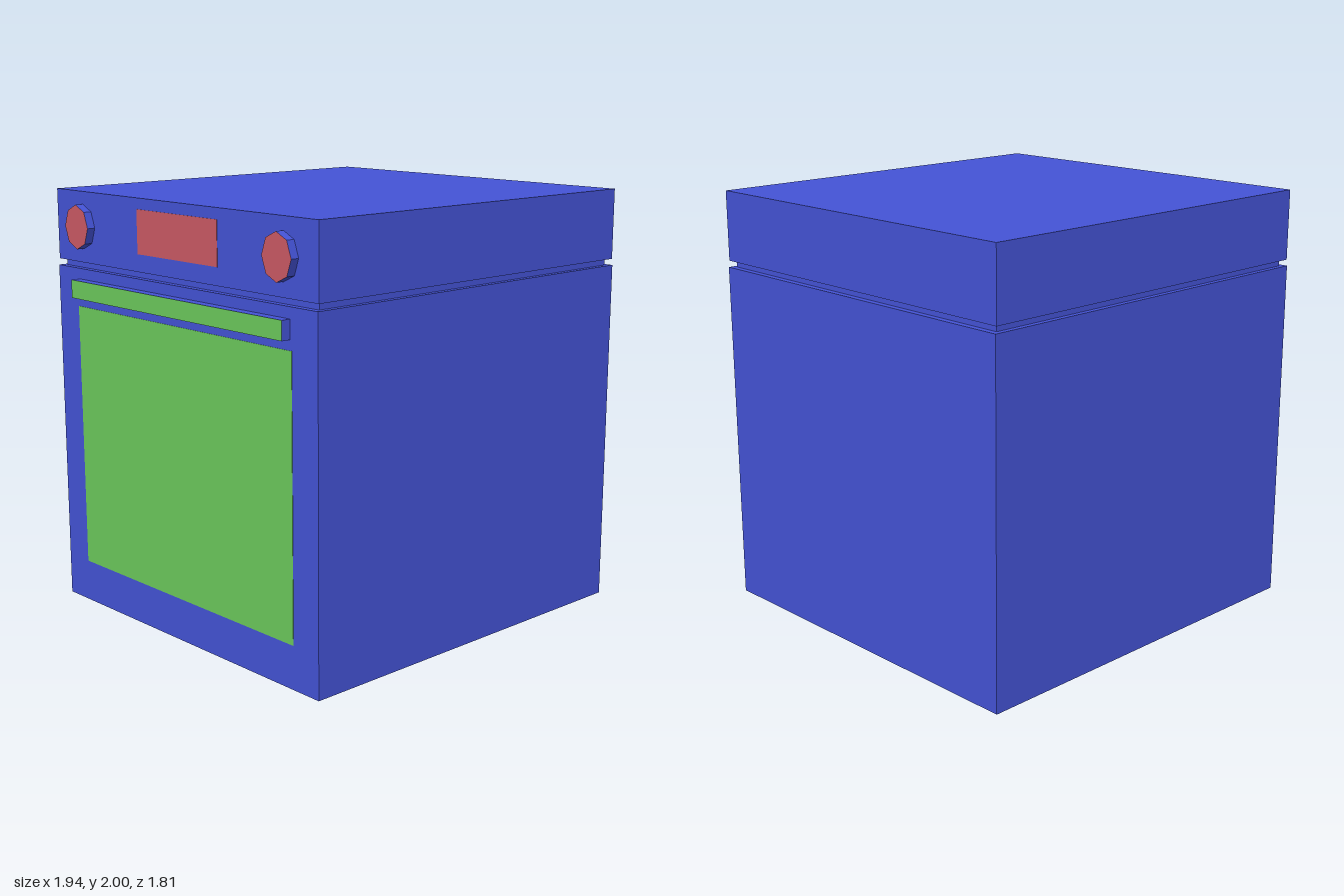
import * as THREE from 'three';

const paint = (color) => new THREE.MeshStandardMaterial({ color, flatShading: true });

export function createModel() {
  const oven = new THREE.Group();
  oven.name = 'oven';
  const blue = paint(0x4453d6);
  const green = paint(0x6cca5c);
  const red = paint(0xcb5a64);

  // Box given by its minimum and maximum corners
  function box(name, min, max, material) {
    const size = max.map((v, i) => v - min[i]);
    const mesh = new THREE.Mesh(new THREE.BoxGeometry(...size), material);
    mesh.position.set(...max.map((v, i) => (v + min[i]) / 2));
    mesh.name = name;
    oven.add(mesh);
  }

  // Cabinet, shadow gap and control housing
  box('cabinet', [-0.93, 0, -0.905], [0.97, 1.64, 0.905], blue);
  box('shadowGap', [-0.9, 1.64, -0.88], [0.94, 1.67, 0.88], blue);
  box('controlHousing', [-0.925, 1.67, -0.905], [0.965, 2, 0.905], blue);

  // Door panel and display, almost flush on the -x side
  box('doorPanel', [-0.932, 0.2, -0.75], [-0.92, 1.46, 0.75], green);
  box('display', [-0.927, 1.75, -0.28], [-0.915, 1.95, 0.28], red);

  // Door handle: only its outer (-x) face is green
  box('doorHandle', [-0.975, 1.505, -0.74], [-0.93, 1.59, 0.74],
    [blue, green, blue, blue, blue, blue]);

  // Eight-sided knobs, slightly taller than wide, with red faces
  for (const side of [-1, 1]) {
    const geometry = new THREE.CylinderGeometry(1, 1, 0.04, 8);
    geometry.scale(0.103, 1, 0.09);
    geometry.rotateZ(Math.PI / 2);
    const knob = new THREE.Mesh(geometry, [blue, red, blue]);
    knob.position.set(-0.945, 1.838, side * 0.698);
    knob.name = side < 0 ? 'backKnob' : 'frontKnob';
    oven.add(knob);
  }

  return oven;
}
